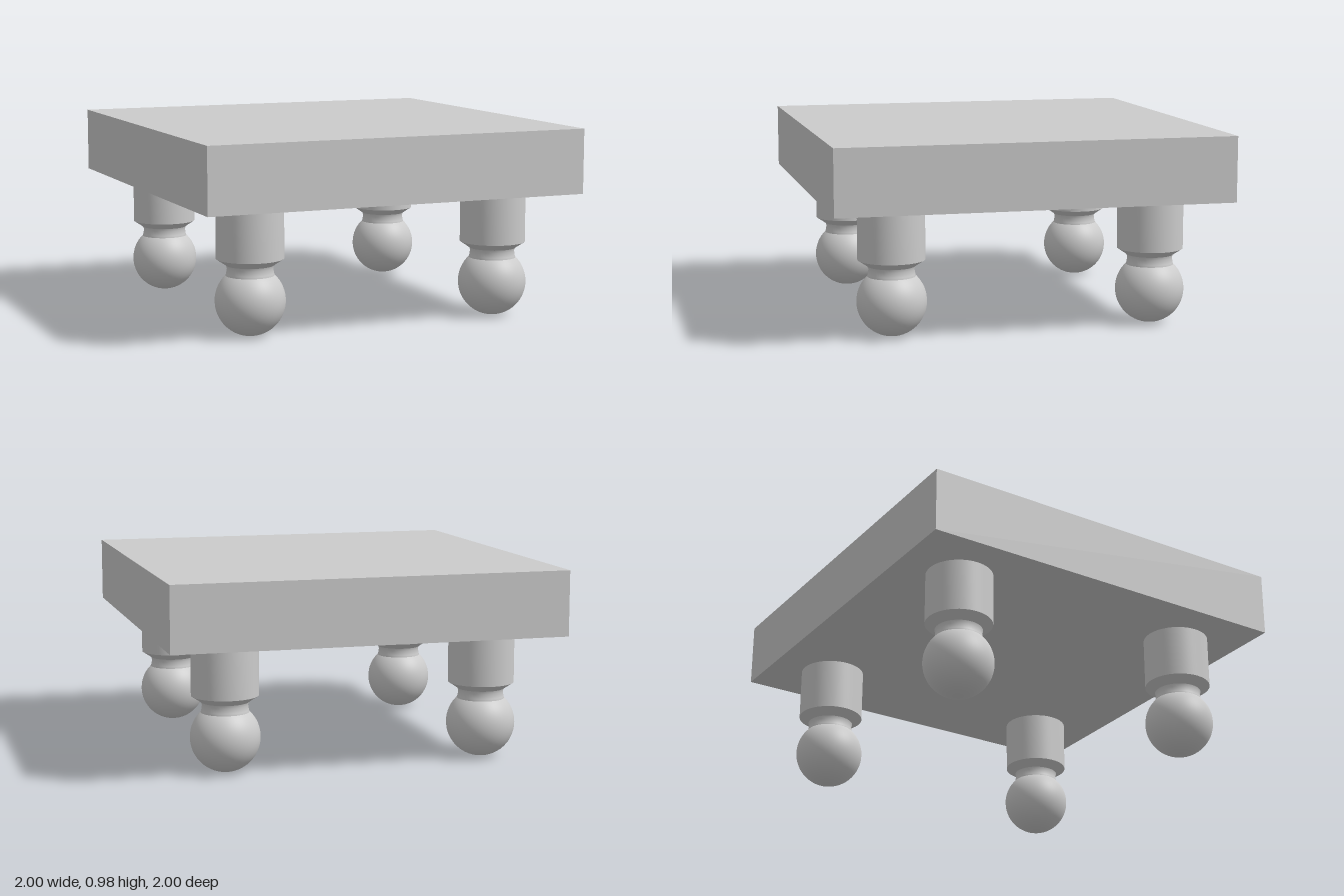
import * as THREE from 'three';
import { toCreasedNormals } from 'three/addons/utils/BufferGeometryUtils.js';

const material = new THREE.MeshStandardMaterial({ color: 0xcccccc });
const POST_R = 0.167, BALL_R = 0.174, LEG = 0.667;

function part(name, geometry) {
  const mesh = new THREE.Mesh(geometry, material);
  mesh.name = name;
  return mesh;
}

// Straight post, tapering through a soft fillet into a narrow neck
function postGeometry() {
  const profile = [
    [0.118, 0.27], [0.123, 0.29], [0.117, 0.31], [0.113, 0.335], [0.118, 0.35],
    [0.135, 0.362], [POST_R, 0.383], [POST_R, 0.65],
  ].map(([r, y]) => new THREE.Vector2(r, y));
  return toCreasedNormals(new THREE.LatheGeometry(profile, 48), 0.6);
}

// Round foot, very slightly flattened on the side facing the middle
function ballGeometry(side) {
  const geometry = new THREE.SphereGeometry(BALL_R, 48, 32);
  const position = geometry.attributes.position;
  const limit = LEG - 0.498;
  for (let i = 0; i < position.count; i++) {
    const inward = -side * position.getZ(i);
    if (inward > limit) position.setZ(i, -side * limit);
  }
  geometry.computeBoundingSphere();
  return geometry;
}

export function createModel() {
  const model = new THREE.Group();
  model.name = 'blockOnLegs';

  // Square slab
  const slab = part('slab', new THREE.BoxGeometry(2, 0.33, 2));
  slab.position.y = 0.815;
  model.add(slab);

  // Four legs near the corners
  for (const sx of [-1, 1]) {
    for (const sz of [-1, 1]) {
      const leg = new THREE.Group();
      leg.name = (sz > 0 ? 'front' : 'back') + (sx > 0 ? 'Left' : 'Right') + 'Leg';
      const foot = part('ballFoot', ballGeometry(sz));
      foot.position.y = BALL_R;
      leg.add(part('post', postGeometry()), foot);
      leg.position.set(sx * LEG, 0, sz * LEG);
      model.add(leg);
    }
  }
  return model;
}
